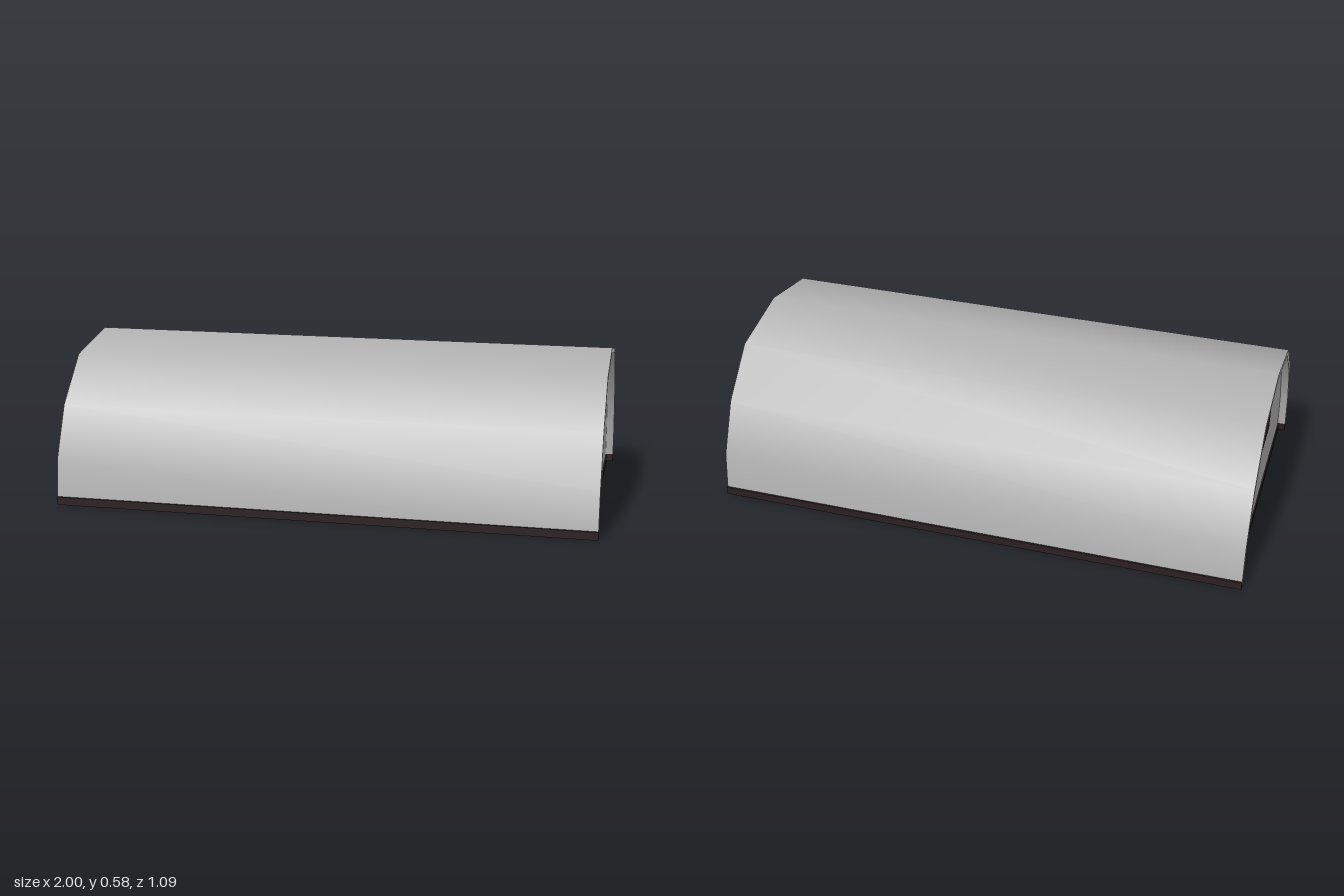
import * as THREE from 'three';

const material = (name, color, side = THREE.FrontSide) => {
  const m = new THREE.MeshStandardMaterial({ color, side });
  m.name = name;
  return m;
};

// Half profiles of the arch as [z, y], from the foot to the ridge
const OUTER = [[0.54, 0.01], [0.523, 0.17], [0.437, 0.36], [0.277, 0.522], [0, 0.576]];
const INNER = [[0.518, 0.01], [0.5, 0.163], [0.418, 0.345], [0.26, 0.507], [0, 0.556]];
const arch = (half) => [...half, ...half.slice(0, -1).reverse().map(([z, y]) => [-z, y])];

// Smooth sheet stretched along x over an arch profile
function sheet(profile, inward) {
  const positions = [], index = [];
  profile.forEach(([z, y]) => positions.push(-1, y, z, 1, y, z));
  for (let i = 0; i < profile.length - 1; i++) {
    const a = 2 * i, b = a + 1, c = a + 2, d = a + 3;
    index.push(...(inward ? [a, c, b, b, c, d] : [a, b, c, b, d, c]));
  }
  const g = new THREE.BufferGeometry();
  g.setAttribute('position', new THREE.Float32BufferAttribute(positions, 3));
  g.setIndex(index);
  g.computeVertexNormals();
  return g;
}

export function createModel() {
  const hut = new THREE.Group();
  hut.name = 'archedHut';
  const metal = material('roofGrey', 0xb2b2b2);
  const wallGrey = material('wallGrey', 0xb0b0b0);
  const rimGrey = material('rimLightGrey', 0xd6d6d6);
  const dark = material('darkTrim', 0x2b2022);

  const add = (name, geometry, mat) => {
    const mesh = new THREE.Mesh(geometry, mat);
    mesh.name = name;
    hut.add(mesh);
    return mesh;
  };
  const box = (name, w, h, d, x, y, z) =>
    add(name, new THREE.BoxGeometry(w, h, d), dark).position.set(x, y, z);

  // Roof shell, outside and inside
  add('roofOuter', sheet(arch(OUTER), false), metal);
  add('roofInner', sheet(arch(INNER), true), metal);

  // Pale edge of the shell at both ends
  const outline = [...arch(OUTER), ...arch(INNER).reverse()];
  const rimShape = new THREE.Shape(outline.map(([z, y]) => new THREE.Vector2(z, y)));
  for (const s of [-1, 1]) {
    const rim = add('roofRim', new THREE.ShapeGeometry(rimShape), rimGrey);
    rim.rotation.y = s * Math.PI / 2;
    rim.position.x = s;
  }

  // End walls, set in from the rim; the doorway is a notch in the left one
  const inset = 0.03, thick = 0.02;
  const doorNear = -0.10, doorFar = -0.253, doorTop = 0.29;
  const endWall = (name, hasDoor, x) => {
    const points = arch(INNER).map(([z, y]) => new THREE.Vector2(-z, y));
    if (hasDoor) {
      points.push(
        new THREE.Vector2(-doorFar, 0.01), new THREE.Vector2(-doorFar, doorTop),
        new THREE.Vector2(-doorNear, doorTop), new THREE.Vector2(-doorNear, 0.01));
    }
    const g = new THREE.ExtrudeGeometry(new THREE.Shape(points), { depth: thick, bevelEnabled: false });
    g.rotateY(Math.PI / 2);
    add(name, g, wallGrey).position.x = x;
  };
  endWall('doorWall', true, 1 - inset - thick);
  endWall('windowWall', false, -1 + inset);

  // Window block through the right wall
  box('window', 0.03, 0.08, 0.23, -1 + inset + thick / 2, 0.31, -0.007);

  // Foundation rails, broken at the doorway
  const railX = 1 - inset - thick / 2;
  for (const s of [-1, 1]) box('sideRail', 2, 0.03, 0.03, 0, 0.015, s * 0.53);
  box('endRail', 0.03, 0.026, 1.03, -railX, 0.013, 0);
  for (const [z0, z1] of [[doorNear, 0.515], [-0.515, doorFar]]) {
    box('doorEndRail', 0.03, 0.026, z1 - z0, railX, 0.013, (z0 + z1) / 2);
  }
  return hut;
}
